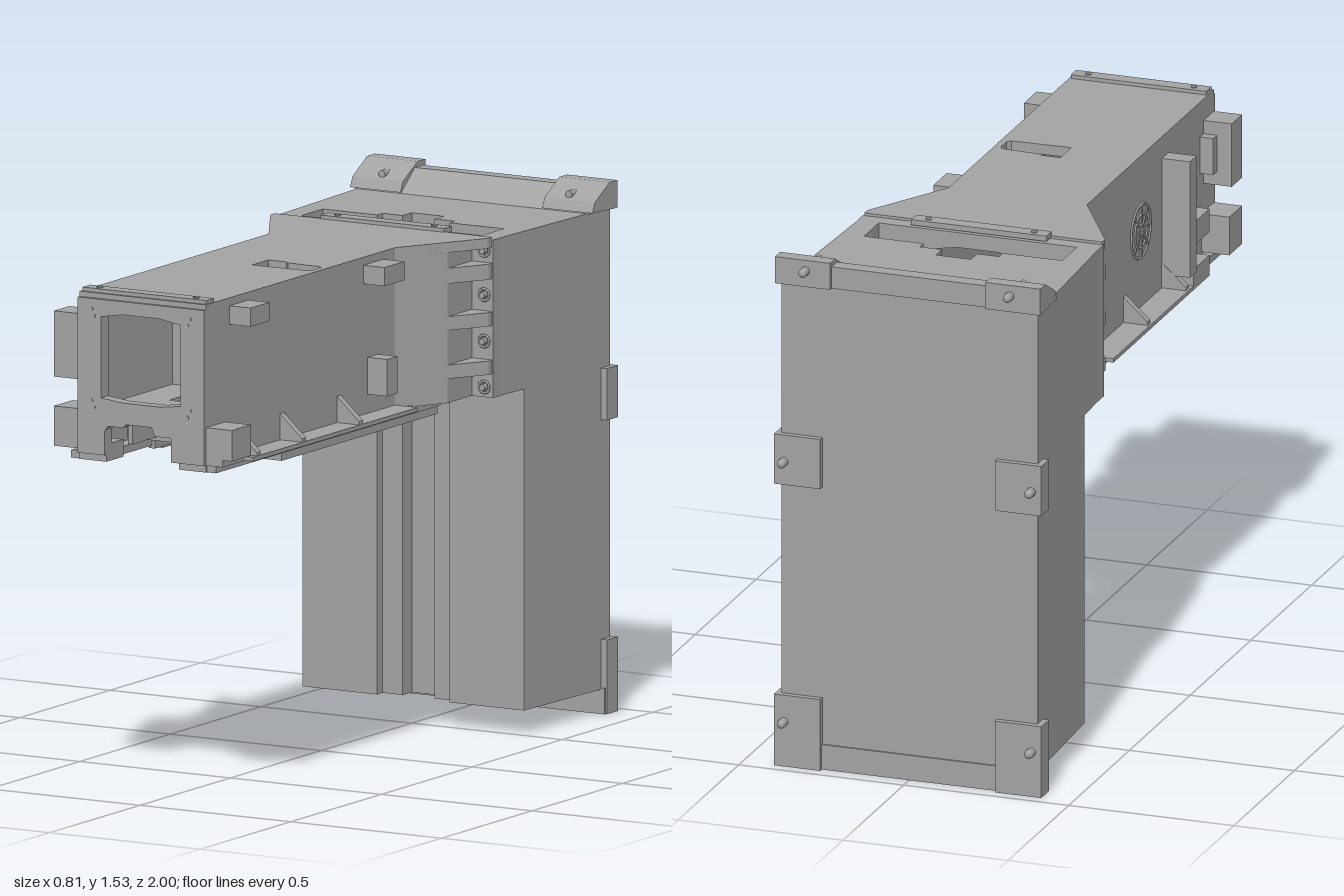
import * as THREE from 'three';

export function createModel() {
  const root = new THREE.Group();
  const grey = new THREE.MeshStandardMaterial({ color: 0xa3a3a3 });
  grey.name = 'castGrey';

  const add = (name, geo) => {
    const m = new THREE.Mesh(geo, grey);
    m.name = name;
    root.add(m);
    return m;
  };
  // Box given by its limits on each axis
  const box = (name, x0, x1, y0, y1, z0, z1) =>
    add(name, new THREE.BoxGeometry(Math.abs(x1 - x0), y1 - y0, z1 - z0)
      .translate((x0 + x1) / 2, (y0 + y1) / 2, (z0 + z1) / 2));
  const poly = (pts, Type = THREE.Shape) => new Type(pts.map(p => new THREE.Vector2(p[0], p[1])));
  const extrude = (pts, depth, holes = []) => {
    const s = poly(pts);
    s.holes = holes.map(h => poly(h, THREE.Path));
    return new THREE.ExtrudeGeometry(s, { depth, bevelEnabled: false });
  };
  // Plan outline (x, z) raised from y0 to y1
  const plan = (name, pts, y0, y1, holes = []) => {
    const flip = a => a.map(([x, z]) => [x, -z]);
    return add(name, extrude(flip(pts), y1 - y0, holes.map(flip)).rotateX(-Math.PI / 2).translate(0, y0, 0));
  };
  // Side outline (z, y) spread from x0 to x1
  const side = (name, pts, x0, x1) =>
    add(name, extrude(pts, x1 - x0).rotateY(-Math.PI / 2).translate(x1, 0, 0));
  // Front outline (x, y) spread from z0 to z1
  const front = (name, pts, z0, z1, holes = []) =>
    add(name, extrude(pts, z1 - z0, holes).translate(0, 0, z0));
  const rect = (x0, x1, y0, y1) => [[x0, y0], [x1, y0], [x1, y1], [x0, y1]];
  const rod = (name, r, x, y, z0, z1, n = 16) =>
    add(name, new THREE.CylinderGeometry(r, r, z1 - z0, n).rotateX(Math.PI / 2).translate(x, y, (z0 + z1) / 2));
  const mirror = fn => [1, -1].forEach(fn);

  // Column with stepped guide channel down its front
  const channel = [[0.12, -0.51], [0.12, -0.54], [0.053, -0.54], [0.053, -0.59],
    [-0.053, -0.59], [-0.053, -0.54], [-0.12, -0.54], [-0.12, -0.51]];
  plan('column', [[-0.388, -0.95], [0.388, -0.95], [0.368, -0.51], ...channel, [-0.368, -0.51]], 0.07, 1.0);
  plan('columnHead', [[-0.388, -0.95], [0.388, -0.95], [0.364, -0.385], [0.3, -0.385], [0.3, -0.51],
    ...channel, [-0.3, -0.51], [-0.3, -0.385], [-0.364, -0.385]], 1.0, 1.457);
  side('columnFoot', [[-0.9, 0], [-0.9, 0.075], [-0.955, 0.075], [-0.955, 0]], -0.4, 0.4);
  side('topLip', [[-0.83, 1.455], [-0.91, 1.52], [-0.955, 1.52], [-0.955, 1.455]], -0.388, 0.388);

  // Corner tabs, locating pins and screw bores
  mirror(s => {
    const span = (a, b) => (s > 0 ? [a, b] : [-b, -a]);
    const [a, b] = span(0.265, 0.405);
    box('bottomTab', a, b, 0, 0.215, -0.968, -0.905);
    box('middleTab', a, b, 0.85, 1.0, -0.968, -0.905);
    side('topTab', [[-0.83, 1.46], [-0.845, 1.49], [-0.925, 1.535], [-0.968, 1.535], [-0.968, 1.455]], ...span(0.235, 0.402));
    for (const [x, y] of [[0.375, 0.135], [0.375, 0.92], [0.31, 1.503]]) {
      rod('pin', 0.013, s * x, y, -0.99, -0.96);
      add('pinTip', new THREE.SphereGeometry(0.013, 12, 8).scale(1, 1, 0.8).translate(s * x, y, -0.99));
    }
    rod('topScrew', 0.011, s * 0.31, 1.503, -0.9, -0.852);
    for (const y of [0.135, 0.92]) {
      add('sideBore', new THREE.ConeGeometry(0.014, 0.25, 16).rotateX(Math.PI / 2).translate(s * 0.366, y, -0.632));
    }
  });

  // Arm lid, widening towards the column, with a small opening
  plan('armLid', [[-0.21, 0.985], [0.21, 0.985], [0.21, -0.06], [0.36, -0.32], [0.36, -0.345],
    [-0.36, -0.345], [-0.36, -0.32], [-0.21, -0.06]], 1.435, 1.465,
  [[[0, 0.29], [0.06, 0.29], [0.07, 0.3], [0.18, 0.305], [0.19, 0.315], [0.19, 0.365], [0.18, 0.375], [0, 0.38]]]);
  for (const z of [0.955, -0.36]) {
    box('lidStrip', -0.205, 0.205, 1.46, 1.476, z - 0.022, z + 0.022);
    mirror(s => add('stripScrew', new THREE.CylinderGeometry(0.009, 0.009, 0.004, 12).translate(s * 0.16, 1.477, z)));
  }

  // Arm sides, flared root with bolt pockets, and lower rails
  mirror(s => {
    const m = pts => pts.map(([x, z]) => [s * x, z]);
    const [a, b] = s > 0 ? [0.18, 0.21] : [-0.21, -0.18];
    box('armWall', a, b, 1.0, 1.437, -0.06, 0.985);
    plan('flareCore', m([[0.18, -0.06], [0.21, -0.06], [0.295, -0.207], [0.295, -0.345], [0.18, -0.345]]), 1.0, 1.437);
    for (const [y0, y1] of [[1.07, 1.11], [1.21, 1.25], [1.345, 1.39]]) {
      plan('flareRib', m([[0.29, -0.2], [0.362, -0.322], [0.362, -0.345], [0.29, -0.345]]), y0, y1);
    }
    for (const y of [1.03, 1.163, 1.297, 1.425]) {
      add('boltRing', new THREE.TorusGeometry(0.017, 0.004, 6, 20).translate(s * 0.338, y, -0.338));
      rod('bolt', 0.01, s * 0.338, y, -0.345, -0.325, 6);
    }
    // Bottom flange and gussets
    const [f0, f1] = s > 0 ? [0.2, 0.285] : [-0.29, -0.2];
    box('bottomFlange', f0, f1, 0.998, 1.01, -0.06, s > 0 ? 0.85 : 0.73);
    for (const z of [0.25, 0.565, 0.815]) {
      if (s < 0 && z > 0.8) continue;
      front('gusset', [[s * 0.2, 1.005], [s * 0.283, 1.005], [s * 0.283, 1.02], [s * 0.2, 1.095]], z - 0.011, z + 0.011);
    }
    // Linear rails below the arm
    const r = (n, x0, x1, y0, y1, z0, z1) => box(n, s * x0, s * x1, y0, y1, z0, z1);
    r('railBase', 0.14, 0.24, 0.98, 1.003, -0.26, 0.98);
    r('rail', 0.165, 0.23, 0.955, 0.982, -0.26, 0.6);
    r('innerRailLip', 0.13, 0.15, 0.972, 1.02, -0.26, 0.7);
    r('footBlock', 0.12, 0.21, 0.98, 1.03, 0.89, 0.985);
  });

  // Ribbed and pierced underside of the arm
  const pockets = [];
  for (let i = 0; i < 7; i++) {
    const z = -0.2 + i * 0.16;
    box('crossRib', -0.18, 0.18, 1.01, 1.1, z - 0.01, z + 0.01);
    if (i < 6) pockets.push([[-0.06, z + 0.04], [0.07, z + 0.04], [0.07, z + 0.14], [-0.06, z + 0.14]]);
  }
  plan('armFloor', rect(-0.185, 0.185, -0.34, 0.97), 1.1, 1.125, pockets);
  mirror(s => box('longRib', s * 0.085, s * 0.1, 1.02, 1.1, -0.3, 0.9));

  // End plate and root flange with bowed windows and a bottom arch
  const opening = [[-0.132, 1.165], [-0.06, 1.157], [0.06, 1.157], [0.132, 1.165],
    [0.132, 1.4], [0.06, 1.412], [-0.06, 1.412], [-0.132, 1.4]];
  const arch = [[0.1, 1.0], [0.1, 1.07], [0.045, 1.07], [0.035, 1.095], [-0.05, 1.095], [-0.06, 1.085],
    [-0.11, 1.085], [-0.12, 1.07], [-0.12, 1.0]];
  front('endPlate', [[-0.21, 1.0], [-0.21, 1.45], [0.21, 1.45], [0.21, 1.0], ...arch], 0.955, 0.995, [opening]);
  front('rootFlange', rect(-0.365, 0.365, 1.0, 1.457), -0.39, -0.343, [opening]);
  front('innerFrame', rect(-0.185, 0.185, 1.11, 1.44), 0.5, 0.52, [opening]);
  mirror(s => {
    for (const y of [1.135, 1.4]) {
      for (const d of [0, 0.02]) rod('endScrew', 0.005, s * (0.155 + d * 0.4), y + d, 0.99, 0.998, 10);
    }
  });

  // Mounting blocks on the left side
  box('upperFrontBlock', 0.2, 0.28, 1.388, 1.442, 0.75, 0.855);
  box('upperRearBlock', 0.2, 0.28, 1.388, 1.442, 0.005, 0.115);
  box('lowerRearBlock', 0.2, 0.275, 1.065, 1.172, 0.035, 0.092);
  box('endBracket', 0.2, 0.296, 1.02, 1.11, 0.88, 0.985);
  box('endBracketLip', 0.2, 0.265, 1.0, 1.03, 0.87, 0.985);

  // Mounting blocks, upright and round vent on the right side
  box('upright', -0.295, -0.2, 1.05, 1.4, 0.555, 0.61);
  box('uprightShelf', -0.29, -0.2, 1.13, 1.2, 0.6, 0.73);
  box('uprightFoot', -0.29, -0.2, 1.01, 1.06, 0.6, 0.73);
  box('upperEndBracket', -0.295, -0.2, 1.21, 1.4, 0.9, 0.985);
  box('upperEndBracketArm', -0.25, -0.2, 1.25, 1.36, 0.87, 0.92);
  box('lowerEndBracket', -0.295, -0.2, 1.01, 1.125, 0.88, 0.985);
  const vent = new THREE.Group();
  vent.name = 'roundVent';
  for (const r of [0.02, 0.05, 0.08]) {
    vent.add(new THREE.Mesh(new THREE.TorusGeometry(r, 0.004, 6, 32), grey));
  }
  for (let i = 0; i < 4; i++) {
    const bar = new THREE.Mesh(new THREE.BoxGeometry(0.16, 0.007, 0.006), grey);
    bar.rotation.z = i * Math.PI / 4;
    vent.add(bar);
  }
  vent.rotation.y = -Math.PI / 2;
  vent.position.set(-0.211, 1.24, 0.38);
  root.add(vent);

  return root;
}
